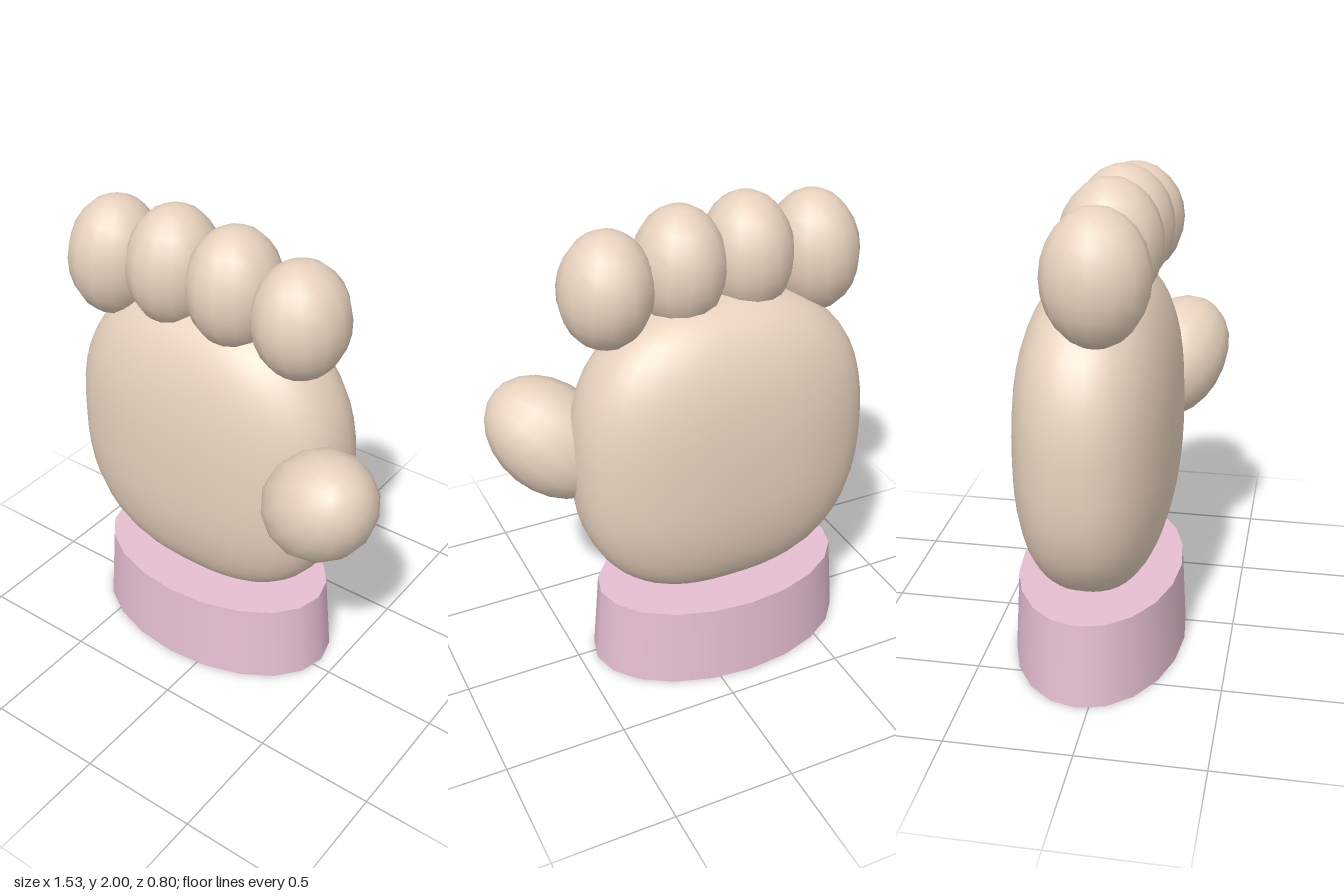
import * as THREE from 'three';
import { mergeVertices } from 'three/addons/utils/BufferGeometryUtils.js';

const skin = new THREE.MeshStandardMaterial({ color: 0xe8d2be });
const pink = new THREE.MeshStandardMaterial({ color: 0xe6bfd3 });

// Sphere squared off into a superellipsoid of the given half sizes
function pillow(rx, ry, rz, power) {
  let geo = new THREE.SphereGeometry(1, 40, 28);
  geo.deleteAttribute('uv');
  geo.deleteAttribute('normal');
  geo = mergeVertices(geo, 1e-4);
  const pos = geo.attributes.position;
  const v = new THREE.Vector3();
  for (let i = 0; i < pos.count; i++) {
    v.fromBufferAttribute(pos, i);
    const sum = Math.abs(v.x) ** power + Math.abs(v.y) ** power + Math.abs(v.z) ** power;
    v.multiplyScalar(sum ** (-1 / power));
    pos.setXYZ(i, v.x * rx, v.y * ry, v.z * rz);
  }
  geo.computeVertexNormals();
  return geo;
}

export function createModel() {
  const group = new THREE.Group();
  const add = (name, geo, mat, x, y, z) => {
    const mesh = new THREE.Mesh(geo, mat);
    mesh.name = name;
    mesh.position.set(x, y, z);
    group.add(mesh);
    return mesh;
  };

  // Flattened, tapering wrist cuff
  const cuff = new THREE.CylinderGeometry(0.54, 0.57, 0.35, 20);
  cuff.scale(1, 1, 0.62);
  add('cuff', cuff, pink, -0.14, 0.175, -0.047);

  // Rounded palm
  add('palm', pillow(0.632, 0.65, 0.315, 2.5), skin, -0.14, 0.98, -0.047);

  // Four stubby fingers: x, y, half height, lean
  const fingers = [
    ['littleFinger', -0.585, 1.708, 0.253, -0.08],
    ['ringFinger', -0.285, 1.752, 0.248, -0.03],
    ['middleFinger', 0.005, 1.747, 0.243, 0.03],
    ['indexFinger', 0.307, 1.707, 0.233, 0.1],
  ];
  const ball = new THREE.SphereGeometry(1, 14, 12);
  for (const [name, x, y, halfHeight, lean] of fingers) {
    const finger = add(name, ball, skin, x, y, 0.017);
    finger.scale.set(0.186, halfHeight, 0.201);
    finger.rotation.z = lean;
  }

  // Thumb pointing outwards, up and forwards
  const thumb = add('thumb', ball, skin, 0.51, 1.035, 0.16);
  thumb.scale.set(0.222, 0.295, 0.222);
  thumb.quaternion.setFromUnitVectors(
    new THREE.Vector3(0, 1, 0),
    new THREE.Vector3(0.62, 0.65, 0.42).normalize()
  );

  return group;
}
